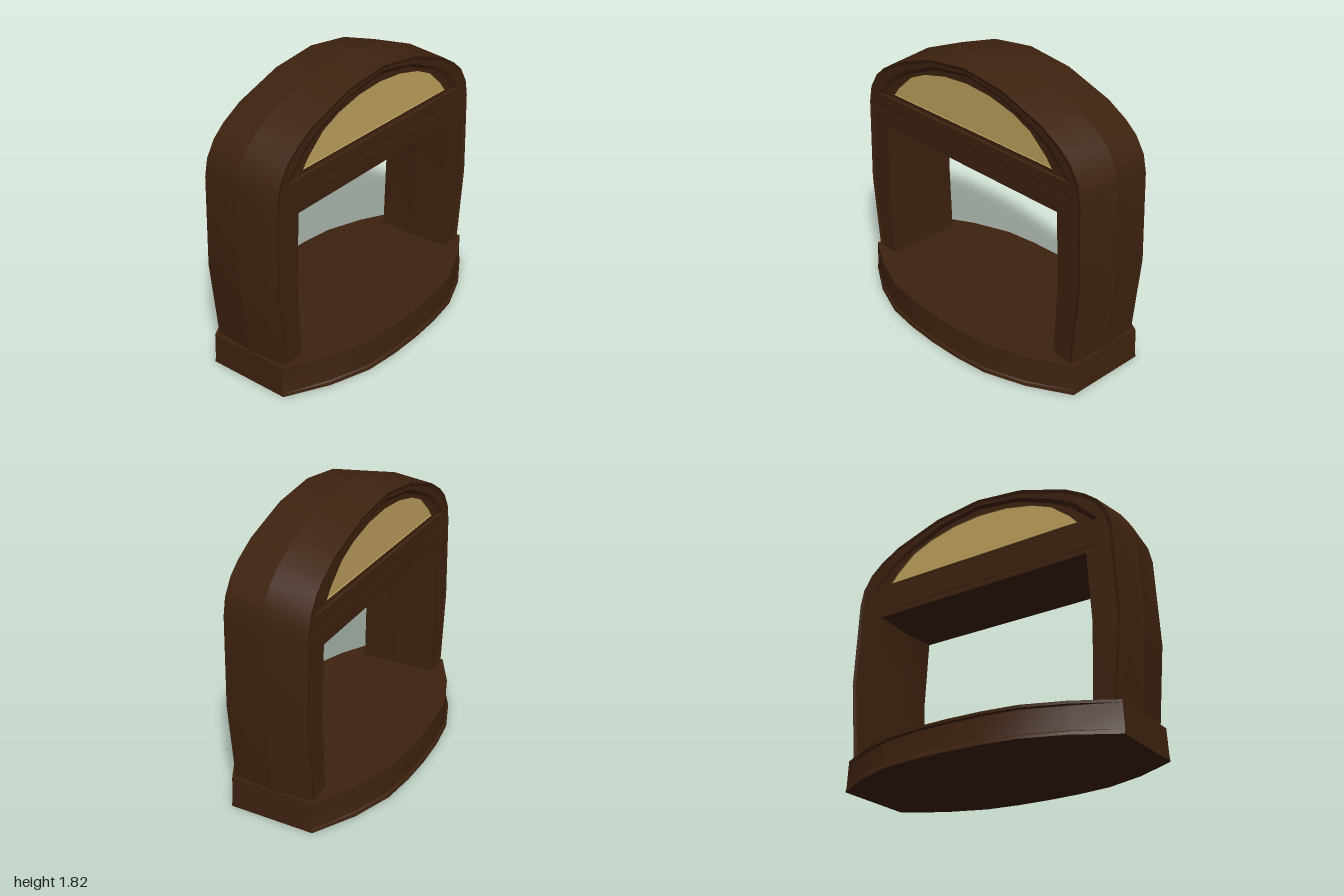
import * as THREE from 'three';
import { toCreasedNormals } from 'three/addons/utils/BufferGeometryUtils.js';

const brown = new THREE.MeshStandardMaterial({ color: 0x3e220f });
brown.name = 'dark wood';
const gold = new THREE.MeshStandardMaterial({ color: 0xc3a45f });
gold.name = 'pale gold';

// Closed counter-clockwise loop from its right half (bottom to top, last point on x = 0)
const mirrored = (half) => [...half, ...half.slice(0, -1).reverse().map(([x, y]) => [-x, y])];
const at = (loop, z) => loop.map(([x, y]) => new THREE.Vector3(x, y, z));

// Skin between successive loops of equal length
function loft(rings, crease = 0.5) {
  const pos = [], n = rings[0].length;
  for (let r = 0; r < rings.length - 1; r++) {
    for (let i = 0; i < n; i++) {
      const j = (i + 1) % n;
      const [a, b, c, d] = [rings[r][i], rings[r][j], rings[r + 1][j], rings[r + 1][i]];
      for (const p of [a, b, c, a, c, d]) pos.push(p.x, p.y, p.z);
    }
  }
  const g = new THREE.BufferGeometry();
  g.setAttribute('position', new THREE.Float32BufferAttribute(pos, 3));
  return toCreasedNormals(g, crease);
}

// Flat face with holes at depth z
function face(loop, z, holes = []) {
  const v = (l) => l.map(([x, y]) => new THREE.Vector2(x, y));
  const s = new THREE.Shape(v(loop));
  holes.forEach((h) => s.holes.push(new THREE.Path(v(h))));
  return new THREE.ShapeGeometry(s).translate(0, 0, z);
}

function add(group, name, geometry, material) {
  const m = new THREE.Mesh(geometry, material);
  m.name = name;
  group.add(m);
  return m;
}

// Frame outlines
const outerHalf = [[0.945, 0.08], [0.95, 0.2], [1, 0.72], [0.975, 1.31], [0.95, 1.42],
  [0.885, 1.52], [0.8, 1.59], [0.66, 1.67], [0.33, 1.78], [0, 1.82]];
const scaled = (half, sx, sy) => half.map(([x, y]) => [x * sx, y > 1 ? y * sy : y]);
const outer = mirrored(outerHalf);
const rim = mirrored(scaled(outerHalf, 0.975, 0.985));
const rimInner = mirrored(scaled(outerHalf, 0.953, 0.974));
const openFront = mirrored([[0.775, 0.12], [0.775, 0.2], [0.795, 0.7], [0.77, 1.16], [0, 1.16]]);
const openMid = mirrored([[0.765, 0.12], [0.765, 0.2], [0.785, 0.7], [0.75, 1.13], [0, 1.13]]);

// Recessed half-round panel and its inlay
const arch = mirrored([[0.86, 1.37], [0.81, 1.42], [0.7, 1.535], [0.56, 1.61], [0.3, 1.71], [0, 1.757]]);
const archInner = mirrored([[0.82, 1.375], [0.775, 1.42], [0.67, 1.52], [0.54, 1.592], [0.29, 1.692], [0, 1.735]]);
const inlay = mirrored([[0.71, 1.4], [0.66, 1.46], [0.53, 1.57], [0.39, 1.63], [0.2, 1.675], [0, 1.69]]);

// Front half of the frame; the back half is the same, turned around
function frameHalf(name) {
  const g = new THREE.Group();
  g.name = name;
  add(g, 'outerSkin', loft([at(outer, 0), at(rim, 0.27)]), brown);
  add(g, 'rimMoulding', loft([at(rim, 0.27), at(rimInner, 0.262)]), brown);
  add(g, 'frameFace', face(rimInner, 0.262, [openFront, arch]), brown);
  add(g, 'openingSkin', loft([at(openFront, 0.262), at(openMid, 0)]), brown);
  add(g, 'archMoulding', loft([at(arch, 0.262), at(archInner, 0.248)], 0.3), brown);
  add(g, 'archPanel', face(archInner, 0.248, [inlay]), brown);
  add(g, 'inlayEdge', loft([at(inlay, 0.248), at(inlay, 0.24)]), gold);
  add(g, 'inlay', face(inlay, 0.24), gold);

  // Lintel strips and thin jamb strips
  add(g, 'lintelStrip', new THREE.BoxGeometry(1.82, 0.07, 0.008), brown).position.set(0, 1.235, 0.263);
  for (const side of [-1, 1]) {
    const jamb = [[0.85, 0.15], [0.9, 0.15], [0.93, 0.7], [0.9, 1.2], [0.845, 1.2], [0.865, 0.7]];
    const pts = jamb.map(([x, y]) => [x * side, y]);
    if (side < 0) pts.reverse();
    add(g, 'jambStrip', loft([at(pts, 0.26), at(pts, 0.265)]), brown);
    add(g, 'jambStripFace', face(pts, 0.265), brown);
  }
  return g;
}

// Bow-sided plinth with a foot and a lip
function makeBase() {
  const g = new THREE.Group();
  g.name = 'base';
  const edge = [[0.97, 0.28], [0.71, 0.432], [0.45, 0.527], [0.22, 0.556], [0, 0.564]];
  const plan = [...edge, ...edge.slice(0, -1).reverse().map(([x, z]) => [-x, z])];
  const full = [...plan, ...plan.map(([x, z]) => [-x, -z])];
  const ring = (y, inset) => full.map(([x, z]) => new THREE.Vector3(
    x * (1 - 0.05 * y), y, Math.sign(z) * Math.max(0.273, Math.abs(z) - inset))).reverse();
  const levels = [[0, 0], [0.02, 0.004], [0.028, 0.014], [0.175, 0.028], [0.183, 0.016], [0.2, 0.016]];
  add(g, 'baseSides', loft(levels.map(([y, d]) => ring(y, d)), 0.4), brown);
  const cap = (y, d) => face(ring(y, d).map((p) => [p.x, -p.z]), 0).rotateX(-Math.PI / 2).translate(0, y, 0);
  add(g, 'baseTop', cap(0.2, 0.016), brown);
  add(g, 'baseBottom', cap(0, 0).rotateX(Math.PI), brown);
  return g;
}

export function createModel() {
  const model = new THREE.Group();
  model.name = 'archedStand';
  const back = frameHalf('frameBack');
  back.rotation.y = Math.PI;
  model.add(frameHalf('frameFront'), back, makeBase());
  return model;
}
